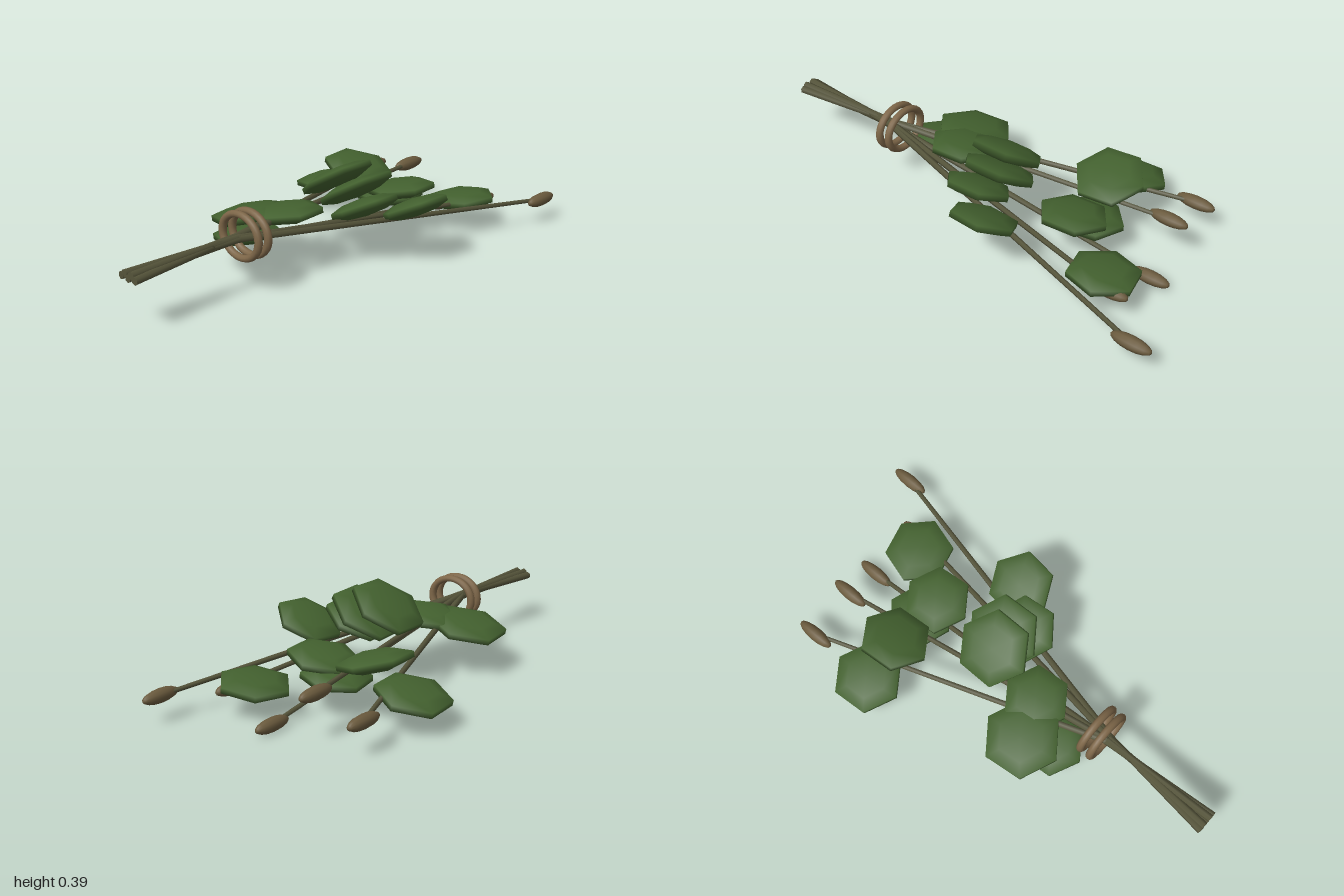
import * as THREE from 'three';

const mat = (name, color) => {
  const m = new THREE.MeshStandardMaterial({ color });
  m.name = name;
  return m;
};

export function createModel() {
  const root = new THREE.Group();
  root.name = 'tiedHerbBundle';
  const leafGreen = mat('leafGreen', 0x43612f);
  const stemOlive = mat('stemOlive', 0x55543a);
  const budBrown = mat('budBrown', 0x6a5a3d);
  const twineBrown = mat('twineBrown', 0x7d6648);

  const add = (geo, material, name, parent = root) => {
    const m = new THREE.Mesh(geo, material);
    m.name = name;
    parent.add(m);
    return m;
  };

  // Tapered stem segment between two points
  const segment = (a, b, ra, rb, name, parent) => {
    const dir = b.clone().sub(a);
    const m = add(new THREE.CylinderGeometry(rb, ra, dir.length(), 6), stemOlive, name, parent);
    m.position.copy(a).add(b).multiplyScalar(0.5);
    m.quaternion.setFromUnitVectors(new THREE.Vector3(0, 1, 0), dir.normalize());
  };

  // Stems: cut end, neck at the tie, bud at the tip
  const sprigs = [
    { end: [0.113, 0.212], neck: [0.068, 0.222], bud: [-0.345, 0.125, -0.71] },
    { end: [0.094, 0.226], neck: [0.074, 0.226], bud: [-0.13, 0.18, -0.71] },
    { end: [0.075, 0.210], neck: [0.080, 0.214], bud: [0.047, 0.031, -0.75] },
    { end: [0.056, 0.225], neck: [0.086, 0.224], bud: [0.28, 0.112, -0.71] },
    { end: [0.037, 0.212], neck: [0.092, 0.220], bud: [0.447, 0.103, -0.915] },
  ];
  const budGeo = new THREE.SphereGeometry(1, 10, 8);
  budGeo.rotateX(Math.PI / 2);
  budGeo.scale(0.028, 0.028, 0.085);
  for (const s of sprigs) {
    const g = new THREE.Group();
    g.name = 'sprig';
    root.add(g);
    const end = new THREE.Vector3(...s.end, 1);
    const neck = new THREE.Vector3(...s.neck, 0.5);
    const tip = new THREE.Vector3(...s.bud);
    segment(end, neck, 0.016, 0.014, 'lowerStem', g);
    segment(neck, tip, 0.014, 0.009, 'upperStem', g);
    add(budGeo, budBrown, 'bud', g).position.copy(tip);
  }

  // Leaves: flattened six-sided lenses [x, y, z, tilt, spin, radius]
  const leafGeo = new THREE.SphereGeometry(1, 6, 5);
  leafGeo.rotateY(Math.PI / 6);
  const leaves = [
    [-0.34, 0.13, -0.415, 0.24, 0.08, 0.155],
    [-0.165, 0.225, -0.415, -0.24, 0.1, 0.155],
    [0.0, 0.135, -0.44, 0.1, 0.2, 0.145],
    [0.083, 0.19, -0.415, 0.18, 0.1, 0.148],
    [0.222, 0.12, -0.65, 0.13, -0.28, 0.152],
    [0.35, 0.232, -0.19, 0.46, -0.12, 0.146],
    [0.043, 0.313, -0.065, 0.56, 0.0, 0.163],
    [0.125, 0.28, -0.09, 0.55, 0.05, 0.163],
    [0.208, 0.232, -0.05, 0.46, 0.1, 0.145],
    [-0.135, 0.192, 0.24, 0.22, 0.12, 0.17],
    [0.018, 0.222, 0.18, 0.15, 0.1, 0.145],
    [-0.06, 0.155, 0.335, 0.2, 0.08, 0.14],
  ];
  for (const [x, y, z, tilt, spin, r] of leaves) {
    const leaf = add(leafGeo, leafGreen, 'leaf');
    leaf.position.set(x, y, z);
    leaf.rotation.set(0, spin, tilt, 'ZYX');
    leaf.scale.set(r, 0.037, r);
  }

  // Two twine rings around the neck
  const ringGeo = new THREE.TorusGeometry(0.1, 0.016, 10, 32);
  for (const z of [0.44, 0.488]) {
    const ring = add(ringGeo, twineBrown, 'twineRing');
    ring.position.set(0.081, 0.225, z);
    ring.scale.set(1, 0.86, 1);
  }
  return root;
}
